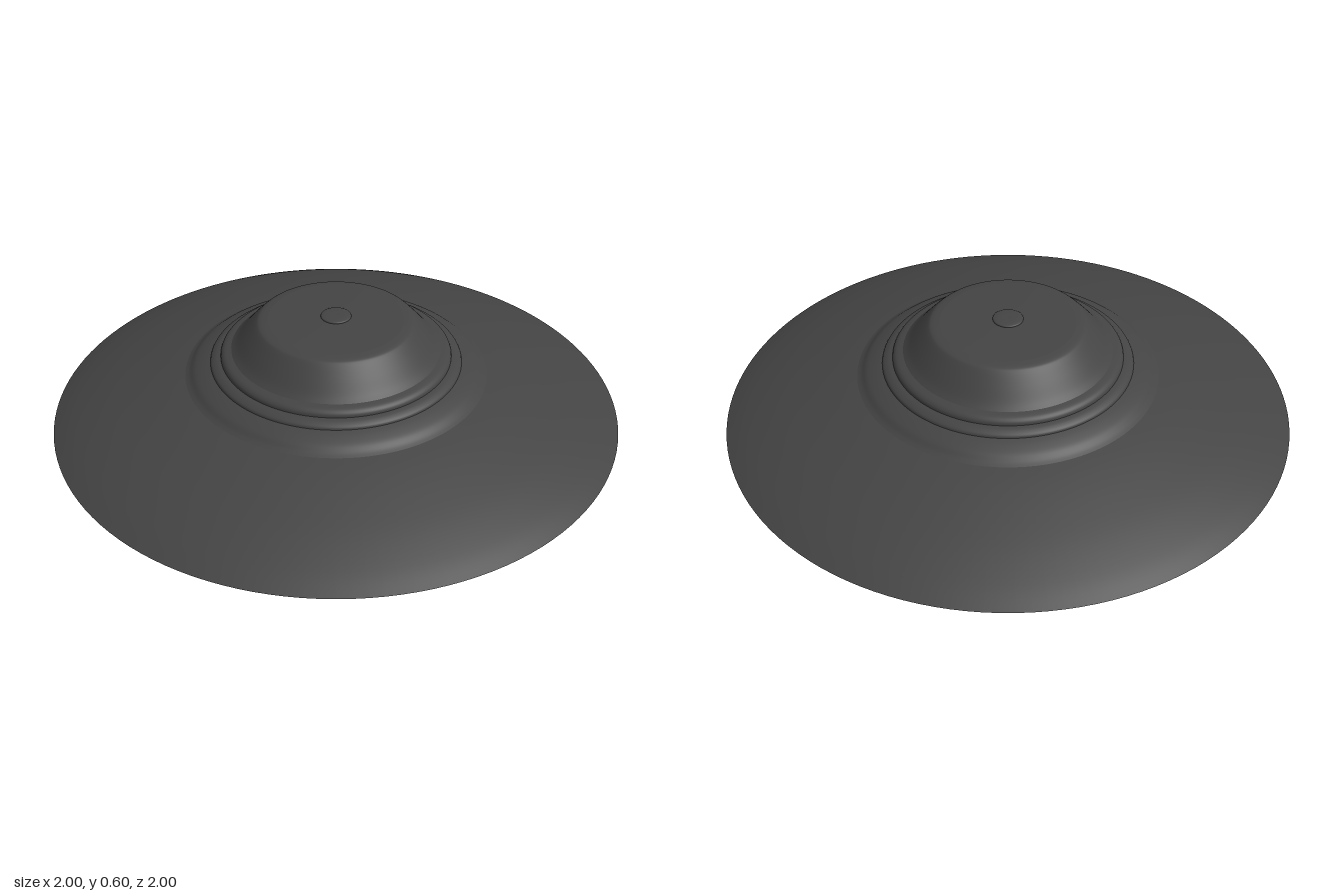
import * as THREE from 'three';

const material = new THREE.MeshStandardMaterial({ color: 0x444444, side: THREE.DoubleSide });

// Revolves a smooth curve through [radius, height] points, listed from bottom to top
function revolve(name, points, divisions = 24) {
  const curve = new THREE.SplineCurve(points.map(([r, y]) => new THREE.Vector2(r, y)));
  const profile = curve.getPoints(divisions);
  profile.forEach((p) => { p.x = Math.max(p.x, 0); });
  const mesh = new THREE.Mesh(new THREE.LatheGeometry(profile, 128), material);
  mesh.name = name;
  return mesh;
}

export function createModel() {
  const saucer = new THREE.Group();
  saucer.name = 'saucer';

  // Underside: flat base, stepped belly and shallow lower hull
  saucer.add(
    revolve('base', [[0, 0], [0.1, 0], [0.2, 0], [0.24, 0.005], [0.27, 0.015], [0.295, 0.028], [0.32, 0.033]], 36),
    revolve('belly', [[0.32, 0.033], [0.38, 0.035], [0.42, 0.042], [0.46, 0.058], [0.495, 0.078], [0.52, 0.094]]),
    revolve('lowerRim', [[0.52, 0.094], [0.56, 0.097], [0.585, 0.103], [0.605, 0.115]], 12),
    revolve('lowerHull', [[0.605, 0.115], [0.74, 0.154], [0.87, 0.192], [1, 0.228]], 16),
  );

  // Upper hull, curving inward from the sharp edge
  saucer.add(
    revolve('upperHull', [[1, 0.228], [0.93, 0.262], [0.82, 0.304], [0.7, 0.341], [0.6, 0.368], [0.53, 0.384]]),
    revolve('shoulder', [[0.53, 0.384], [0.515, 0.392], [0.495, 0.407], [0.465, 0.42], [0.44, 0.428]], 16),
  );

  // Stepped collar around the dome
  saucer.add(
    revolve('collarStep', [[0.44, 0.428], [0.436, 0.437], [0.42, 0.446], [0.403, 0.45]], 10),
    revolve('collarRing', [[0.403, 0.45], [0.4, 0.461], [0.388, 0.471], [0.365, 0.477]], 10),
  );

  // Sloping cabin with a rounded top edge and a small hatch
  saucer.add(
    revolve('cabin', [[0.365, 0.477], [0.345, 0.495], [0.31, 0.535], [0.278, 0.569], [0.262, 0.579], [0.235, 0.584]]),
    revolve('roof', [[0.235, 0.584], [0.16, 0.587], [0.1, 0.59], [0.053, 0.592]], 10),
    revolve('hatch', [[0.053, 0.592], [0.05, 0.597], [0.03, 0.6], [0, 0.6]], 12),
  );

  return saucer;
}
